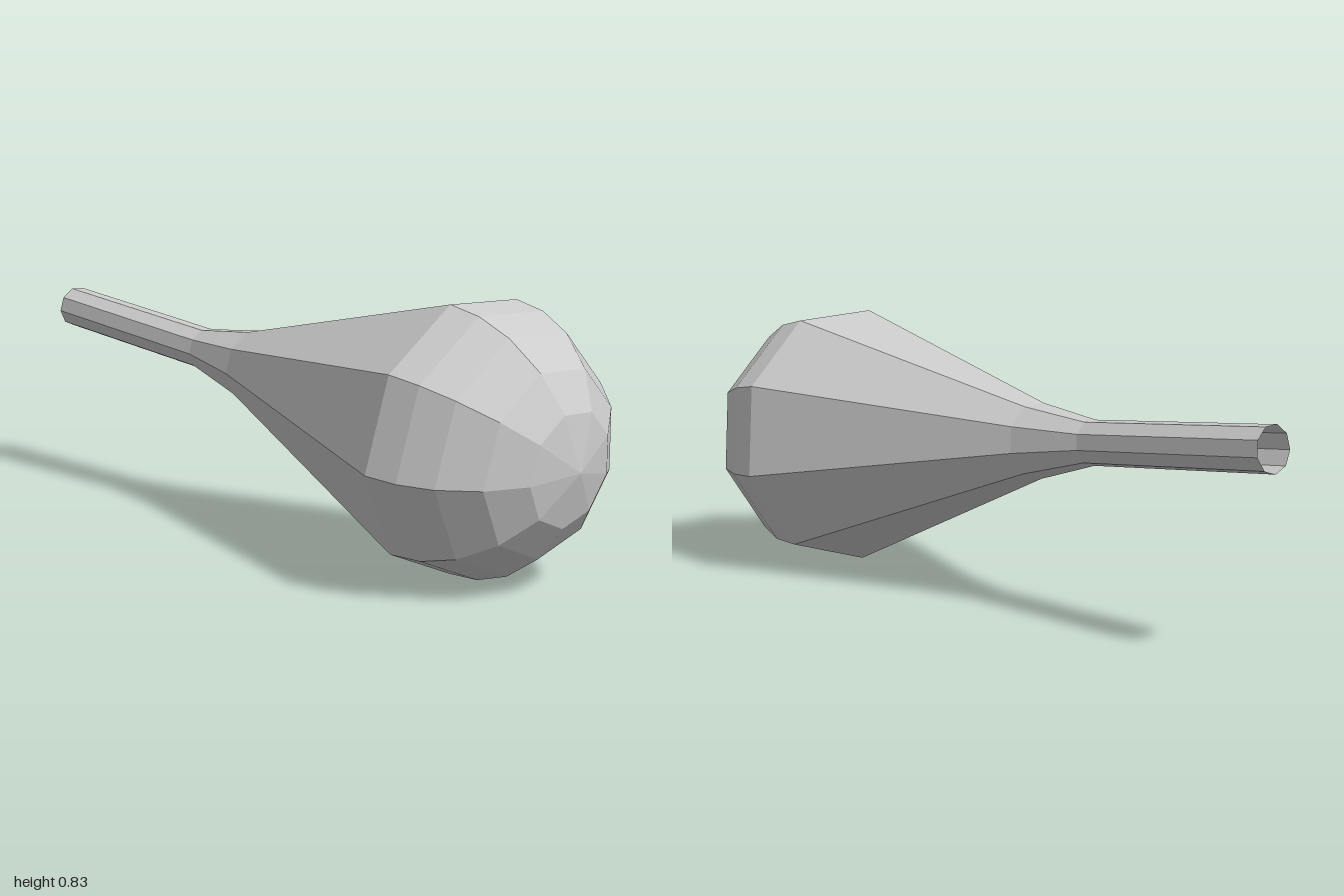
import * as THREE from 'three';

const SIDES = 9;
const HEAD_RADIUS = 0.426;
const HEAD_START = 1.863; // distance along the axis where the round end begins

export function createModel() {
  const group = new THREE.Group();
  const material = new THREE.MeshStandardMaterial({
    color: 0xcccccc, flatShading: true, side: THREE.DoubleSide,
  });

  // Revolve a (radius, distance) profile into a nine-sided shell
  const addPart = (name, profile) => {
    const points = profile.map(([r, d]) => new THREE.Vector2(r, d));
    const geometry = new THREE.LatheGeometry(points, SIDES, THREE.MathUtils.degToRad(-23));
    const mesh = new THREE.Mesh(geometry, material);
    mesh.name = name;
    group.add(mesh);
  };

  // Slim open handle
  addPart('handle', [[0.069, 0], [0.069, 0.695]]);

  // Flared neck widening to the head
  addPart('neck', [[0.069, 0.695], [0.117, 0.93], [HEAD_RADIUS, HEAD_START]]);

  // Rounded head, a faceted hemisphere
  addPart('head', [0, 14.5, 30, 48, 66, 90].map((degrees) => {
    const a = THREE.MathUtils.degToRad(degrees);
    return [degrees === 90 ? 0 : HEAD_RADIUS * Math.cos(a), HEAD_START + HEAD_RADIUS * Math.sin(a)];
  }));

  // Lay the long axis diagonally, dipping slightly towards the head
  const axis = new THREE.Vector3(0.827, -0.094, 0.554).normalize();
  const side = new THREE.Vector3(-axis.z, 0, axis.x).normalize();
  const up = new THREE.Vector3().crossVectors(side, axis);
  group.quaternion.setFromRotationMatrix(new THREE.Matrix4().makeBasis(side, axis, up));
  group.position.set(-0.965, 0.605, -0.7);

  const model = new THREE.Group();
  model.name = 'bulbHeadedClub';
  model.add(group);
  group.name = 'club';
  return model;
}
